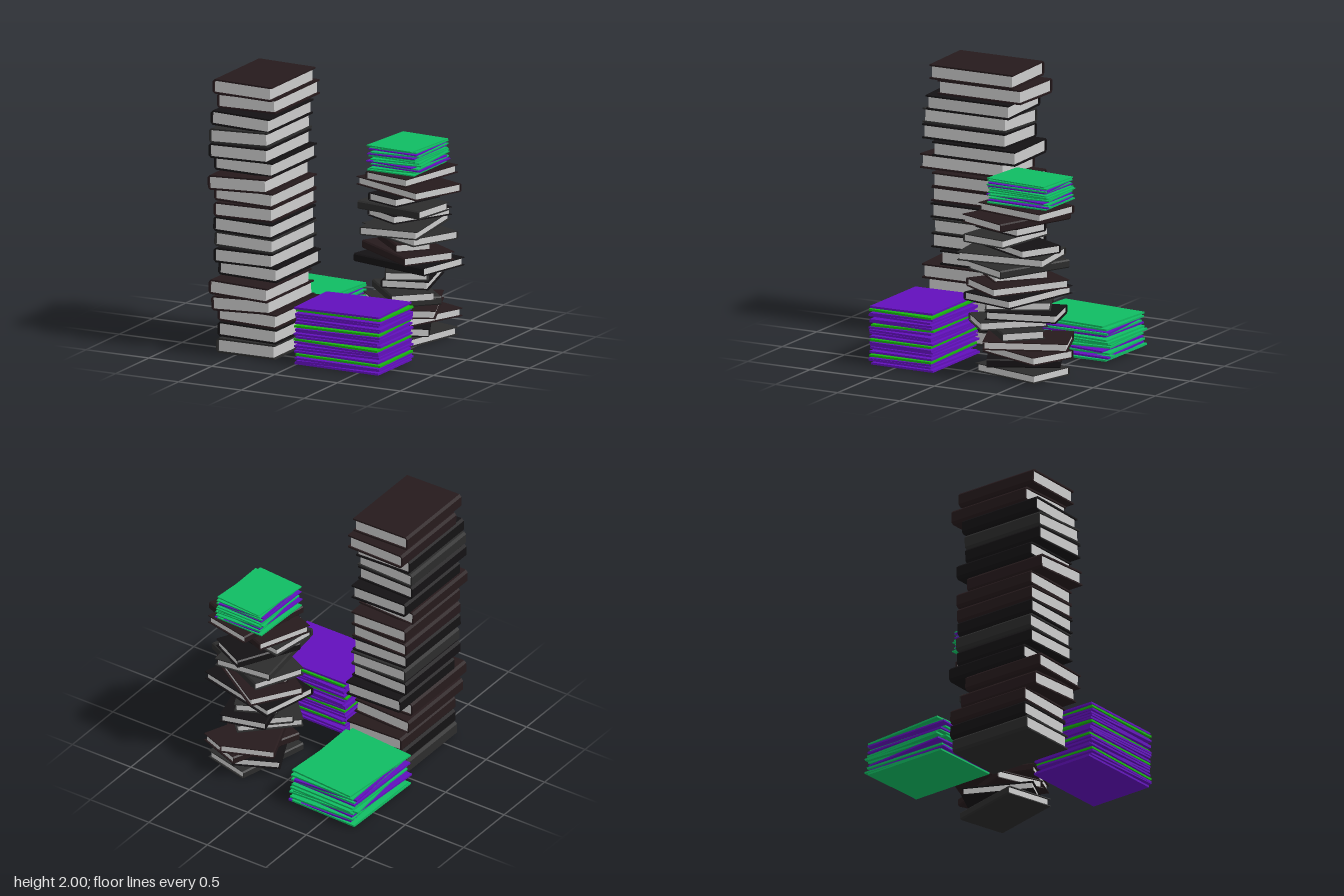
import * as THREE from 'three';

const mat = (color) => new THREE.MeshStandardMaterial({ color, side: THREE.DoubleSide, flatShading: true });
const pageMat = mat(0xcccccc);
const coverMats = [0x261a1c, 0x141214, 0x2c2c2c].map(mat);
const purple = mat(0x6210bc), leaf = mat(0x17b50f), green = mat(0x10bc62);

// Small seeded generator giving values from -1 to 1
function seeded(seed) {
  return () => {
    seed = (seed * 16807) % 2147483647;
    return (seed / 2147483647) * 2 - 1;
  };
}

// Hardback book: C-shaped cover with a bevelled spine at -x, page block inside
function makeBook(name, w, h, l, coverMat) {
  const book = new THREE.Group();
  book.name = name;
  const t = h * 0.11, c = h * 0.16, x = w / 2, y = h / 2;
  const profile = new THREE.Shape([
    [x, y], [-x + c, y], [-x, y - c], [-x, -y + c], [-x + c, -y], [x, -y],
    [x, -y + t], [-x + c, -y + t], [-x + t, -y + c], [-x + t, y - c], [-x + c, y - t], [x, y - t],
  ].map(([px, py]) => new THREE.Vector2(px, py)));
  const coverGeo = new THREE.ExtrudeGeometry(profile, { depth: l, bevelEnabled: false });
  coverGeo.translate(0, 0, -l / 2);
  const cover = new THREE.Mesh(coverGeo, coverMat);
  cover.name = 'bookCover';
  const pages = new THREE.Mesh(new THREE.BoxGeometry(w - t - 0.018, h - 2 * t, l - 0.026), pageMat);
  pages.position.x = (t - 0.014) / 2;
  pages.name = 'pageBlock';
  book.add(cover, pages);
  return book;
}

// Tall neat pile: [z centre, tilt] from top to bottom
function makeTallStack() {
  const stack = new THREE.Group();
  stack.name = 'tallBookStack';
  const rows = [
    [0.365, -0.02], [0.3, 0.015], [0.395, -0.03], [0.42, 0.04], [0.425, 0.02], [0.345, -0.015],
    [0.44, 0.045], [0.345, -0.02], [0.35, 0.015], [0.355, -0.02], [0.34, -0.02], [0.35, 0.01],
    [0.28, -0.025], [0.425, -0.035], [0.385, 0.045], [0.29, -0.03], [0.29, -0.02], [0.31, 0],
  ];
  const pitch = 2 / rows.length;
  rows.forEach(([z, tilt], i) => {
    const book = makeBook('tallStackBook', 0.465, 0.106, 0.667, coverMats[[0, 0, 1, 2, 1, 1, 0][i % 7]]);
    book.position.set(-0.42, 2 - (i + 0.5) * pitch, z);
    book.rotation.z = tilt;
    stack.add(book);
  });
  return stack;
}

// Twisted pile: [min x, max x, min z, max z, turn direction, spine reversed] from top to bottom
function makeTwistedStack() {
  const stack = new THREE.Group();
  stack.name = 'twistedBookStack';
  const rows = [
    [0.115, 0.6, -0.7, -0.07, -1, 0], [0, 0.75, -0.63, 0, 1, 1], [0.16, 0.565, -0.51, -0.015, -1, 0],
    [0.08, 0.665, -0.45, -0.015, 1, 0], [0.1, 0.62, -0.645, -0.055, -1, 0], [0.11, 0.62, -0.62, 0.08, 1, 0],
    [0.02, 0.73, -0.64, -0.025, 1, 1], [0.11, 0.59, -0.535, -0.06, 1, 0], [0, 0.73, -0.655, 0.015, 1, 0],
    [0, 0.74, -0.615, -0.035, 1, 0], [0.115, 0.6, -0.6, -0.045, 1, 0], [0.13, 0.6, -0.68, -0.09, 1, 0],
    [0.08, 0.66, -0.54, 0.045, 1, 0], [0.06, 0.62, -0.56, 0, -1, 1], [0.05, 0.65, -0.75, -0.04, 1, 0],
    [0.1, 0.65, -0.735, -0.08, -1, 0], [0.06, 0.6, -0.665, -0.045, 1, 1], [0.12, 0.62, -0.68, -0.045, -1, 0],
  ];
  const k = 1.5, pitch = 1.236 / rows.length;
  rows.forEach(([x0, x1, z0, z1, dir, reversed], i) => {
    // Turn and width of a book of proportion k that fills this footprint
    const r = (x1 - x0) / (z1 - z0);
    const turn = Math.atan2(Math.max(r * k - 1, 0.02), k - r);
    const w = (x1 - x0) / (Math.cos(turn) + k * Math.sin(turn));
    const book = makeBook('twistedStackBook', w, pitch * 0.88, w * k, coverMats[[0, 0, 1, 2, 1, 2, 2][i % 7]]);
    book.position.set((x0 + x1) / 2, 1.236 - (i + 0.5) * pitch, (z0 + z1) / 2);
    book.rotation.y = dir * turn + reversed * Math.PI;
    stack.add(book);
  });
  return stack;
}

// Loose pile of thin folders, each slightly turned, shifted and tilted
function makeFolderStack(name, { count, w, l, height, turn, tilt, shift, seed, colours }) {
  const stack = new THREE.Group();
  stack.name = name;
  const rand = seeded(seed), pitch = height / count;
  const geo = new THREE.BoxGeometry(w, pitch * 0.68, l);
  for (let i = 0; i < count; i++) {
    const folder = new THREE.Mesh(geo, colours[i % colours.length]);
    folder.name = 'folder';
    const damp = i === 0 || i === count - 1 ? 0.25 : 1;
    folder.position.set(rand() * shift, (i + 0.5) * pitch, rand() * shift);
    folder.rotation.set(rand() * tilt * damp, rand() * turn, rand() * tilt * damp);
    stack.add(folder);
  }
  return stack;
}

export function createModel() {
  const model = new THREE.Group();
  model.name = 'bookPiles';
  model.add(makeTallStack(), makeTwistedStack());

  // Wide purple pile at the front
  const front = makeFolderStack('frontFolderStack', {
    count: 20, w: 0.67, l: 0.5, height: 0.43, turn: 0.02, tilt: 0.018, shift: 0.01, seed: 77,
    colours: [purple, purple, purple, leaf, purple],
  });
  front.position.set(0.34, 0, 0.45);

  // The same green pile twice: on the floor, and smaller on top of the twisted books
  const pile = {
    count: 14, w: 0.53, l: 0.67, height: 0.27, turn: 0.09, tilt: 0.03, shift: 0.02, seed: 4211,
    colours: [green, green, purple, green, purple, green, green],
  };
  const back = makeFolderStack('backFolderStack', pile);
  back.position.set(-0.45, 0, -0.4);
  const top = makeFolderStack('topFolderStack', pile);
  top.scale.set(0.71, 0.67, 0.71);
  top.position.set(0.33, 1.236, -0.4);

  model.add(front, back, top);
  return model;
}
